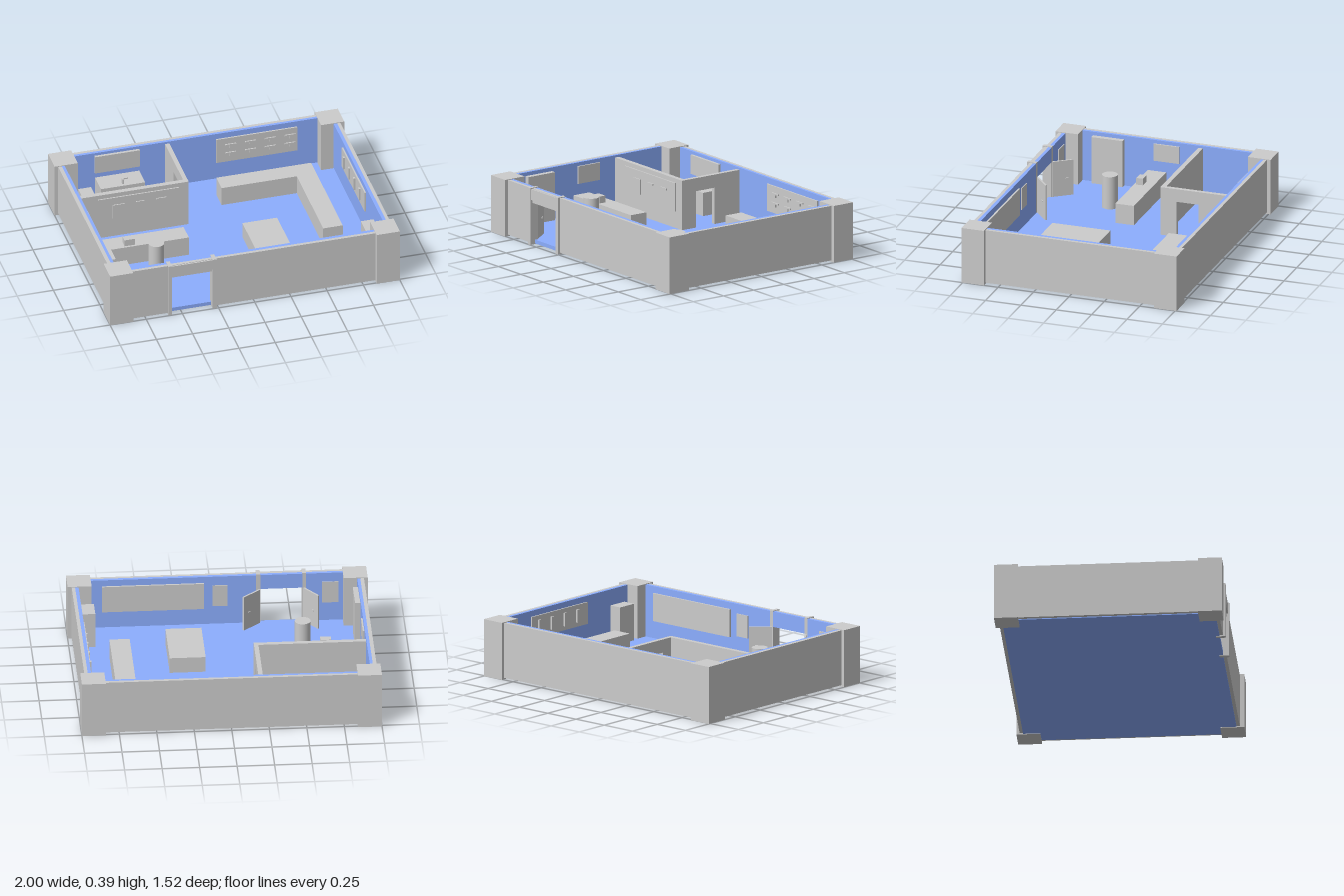
import * as THREE from 'three';

export function createModel() {
  const model = new THREE.Group();
  const grey = new THREE.MeshStandardMaterial({ color: 0xcccccc });
  const blue = new THREE.MeshStandardMaterial({ color: 0x8caeff });

  const group = (name) => {
    const g = new THREE.Group();
    g.name = name;
    model.add(g);
    return g;
  };

  // Box given by its limits on each axis
  const box = (name, x0, x1, y0, y1, z0, z1, mat = grey, parent = model) => {
    const mesh = new THREE.Mesh(new THREE.BoxGeometry(x1 - x0, y1 - y0, z1 - z0), mat);
    mesh.position.set((x0 + x1) / 2, (y0 + y1) / 2, (z0 + z1) / 2);
    mesh.name = name;
    parent.add(mesh);
    return mesh;
  };

  // Extruded outline in the x-y plane of the shape
  const extrude = (name, points, depth) => {
    const shape = new THREE.Shape(points.map(([x, y]) => new THREE.Vector2(x, y)));
    const mesh = new THREE.Mesh(
      new THREE.ExtrudeGeometry(shape, { depth, bevelEnabled: false }), grey);
    mesh.name = name;
    model.add(mesh);
    return mesh;
  };

  const F = 0.03; // floor level
  const H = 0.385; // wall height

  // Floor and corner pillars
  box('floor', -0.95, 0.95, 0.004, F, -0.715, 0.708, blue);
  const pillars = group('cornerPillars');
  for (const [x, z] of [[-0.92, -0.685], [0.92, -0.68], [-0.92, 0.675], [0.92, 0.68]])
    box('pillar', x - 0.08, x + 0.08, 0, 0.39, z - 0.08, z + 0.08, grey, pillars);

  // Outer walls with a blue inner lining
  box('backWall', -0.97, 0.97, 0.01, H, -0.738, -0.715);
  box('backLining', -0.95, 0.95, 0.01, H, -0.715, -0.695, blue);
  box('leftWall', 0.95, 0.973, 0.01, H, -0.738, 0.73);
  box('leftLining', 0.927, 0.95, 0.01, H, -0.715, 0.708, blue);
  box('rightWall', -0.975, -0.95, 0.01, H, -0.738, 0.73);
  box('rightLining', -0.95, -0.93, 0.01, H, -0.715, 0.708, blue);
  for (const [part, z0, z1, mat, top] of [
    ['frontWall', 0.708, 0.73, grey, 0.287], ['frontLining', 0.685, 0.708, blue, 0.28]]) {
    const g = group(part);
    box('rightPart', -0.95, -0.575, 0.01, H, z0, z1, mat, g);
    box('leftPart', -0.285, 0.95, 0.01, H, z0, z1, mat, g);
    box('lintel', -0.575, -0.285, top, H, z0, z1, mat, g);
  }

  // Entrance frame, sign board and two open door leaves
  box('doorPost', -0.595, -0.57, 0, 0.39, 0.684, 0.748);
  box('doorPost', -0.29, -0.262, 0, 0.39, 0.684, 0.748);
  box('signBoard', -0.57, -0.29, 0.308, 0.382, 0.72, 0.74);
  const leaf = (x0, z0, x1, z1) => {
    const g = group('doorLeaf');
    const len = Math.hypot(x1 - x0, z1 - z0);
    g.position.set(x0, 0, z0);
    g.rotation.y = -Math.atan2(z1 - z0, x1 - x0);
    box('panel', 0, len, F, 0.28, -0.006, 0.006, grey, g);
    box('handle', len * 0.62, len * 0.75, 0.148, 0.156, -0.012, 0.012, grey, g);
  };
  leaf(-0.58, 0.685, -0.67, 0.567);
  leaf(-0.285, 0.68, -0.17, 0.58);

  // Partition of the small back room, with a doorway in its side
  box('partitionFront', -0.93, -0.182, F, 0.37, -0.255, -0.222);
  const sidePartition = extrude('partitionSide', [
    [0.24, F], [0.335, F], [0.335, 0.28], [0.49, 0.28], [0.49, F],
    [0.695, F], [0.695, 0.37], [0.24, 0.37]], 0.03);
  sidePartition.rotation.y = Math.PI / 2;
  sidePartition.position.x = -0.212;
  box('partitionBoard', -0.81, -0.25, 0.145, 0.34, -0.222, -0.213);
  for (const [x, w, y] of [[-0.71, 0.08, 0.18], [-0.55, 0.06, 0.272], [-0.41, 0.07, 0.272]])
    box('boardItem', x, x + w, y, 0.285, -0.213, -0.206);

  // Washroom: basin unit, tap, mirror and bin
  box('basinUnit', -0.695, -0.39, F, 0.19, -0.695, -0.55);
  box('tapStem', -0.542, -0.53, 0.19, 0.225, -0.59, -0.57);
  box('tapSpout', -0.542, -0.5, 0.218, 0.227, -0.59, -0.582);
  box('mirror', -0.7, -0.39, 0.235, 0.365, -0.695, -0.676);
  box('bin', -0.82, -0.732, F, 0.14, -0.665, -0.565);

  // Reception counter with till, and a round column in front
  box('receptionCounter', -0.92, -0.28, F, 0.168, 0, 0.13);
  box('till', -0.72, -0.648, 0.168, 0.215, 0.068, 0.115);
  const column = new THREE.Mesh(new THREE.CylinderGeometry(0.053, 0.053, 0.23, 32), grey);
  column.name = 'roundStand';
  column.position.set(-0.543, 0.145, 0.263);
  model.add(column);

  // L-shaped counter and centre table
  const counter = extrude('cornerCounter', [
    [0.09, 0.38], [0.61, 0.38], [0.61, -0.265], [0.745, -0.265], [0.745, 0.51], [0.09, 0.51]],
  0.165 - F);
  counter.rotation.x = -Math.PI / 2;
  counter.position.y = F;
  box('centreTable', 0.12, 0.36, F, 0.14, 0.022, 0.432);

  // Cabinets by the side walls
  box('wallCabinet', -0.93, -0.895, F, 0.36, 0.3, 0.52);
  box('tallCabinet', 0.828, 0.915, F, 0.28, 0.415, 0.555);

  // Flat panels on the walls
  box('rightWallPicture', -0.93, -0.919, 0.24, 0.36, -0.09, 0.09);
  box('longFrontPanel', 0.085, 0.765, 0.15, 0.34, 0.672, 0.686);
  box('smallFrontPanel', -0.07, 0.03, 0.165, 0.32, 0.679, 0.686);
  box('smallFrontPanel', -0.81, -0.7, 0.165, 0.32, 0.679, 0.686);

  // Back display board with two rows of goods on pegs
  const display = group('backDisplay');
  box('board', 0.14, 0.7, 0.16, 0.345, -0.695, -0.684, grey, display);
  for (let i = 0; i < 4; i++)
    for (const y of [0.29, 0.225]) {
      const x = 0.2 + i * 0.137;
      box('shelfItem', x, x + 0.075, y, y + 0.01, -0.684, -0.675, grey, display);
      box('peg', x + 0.03, x + 0.045, y - 0.02, y, -0.684, -0.675, grey, display);
    }

  // Left wall board with four upright handles
  const rack = group('leftWallRack');
  box('board', 0.917, 0.928, 0.195, 0.345, -0.37, 0.19, grey, rack);
  for (let i = 0; i < 4; i++) {
    const z = -0.3 + i * 0.128;
    box('uprightItem', 0.905, 0.917, 0.225, 0.315, z - 0.01, z + 0.01, grey, rack);
  }

  return model;
}
